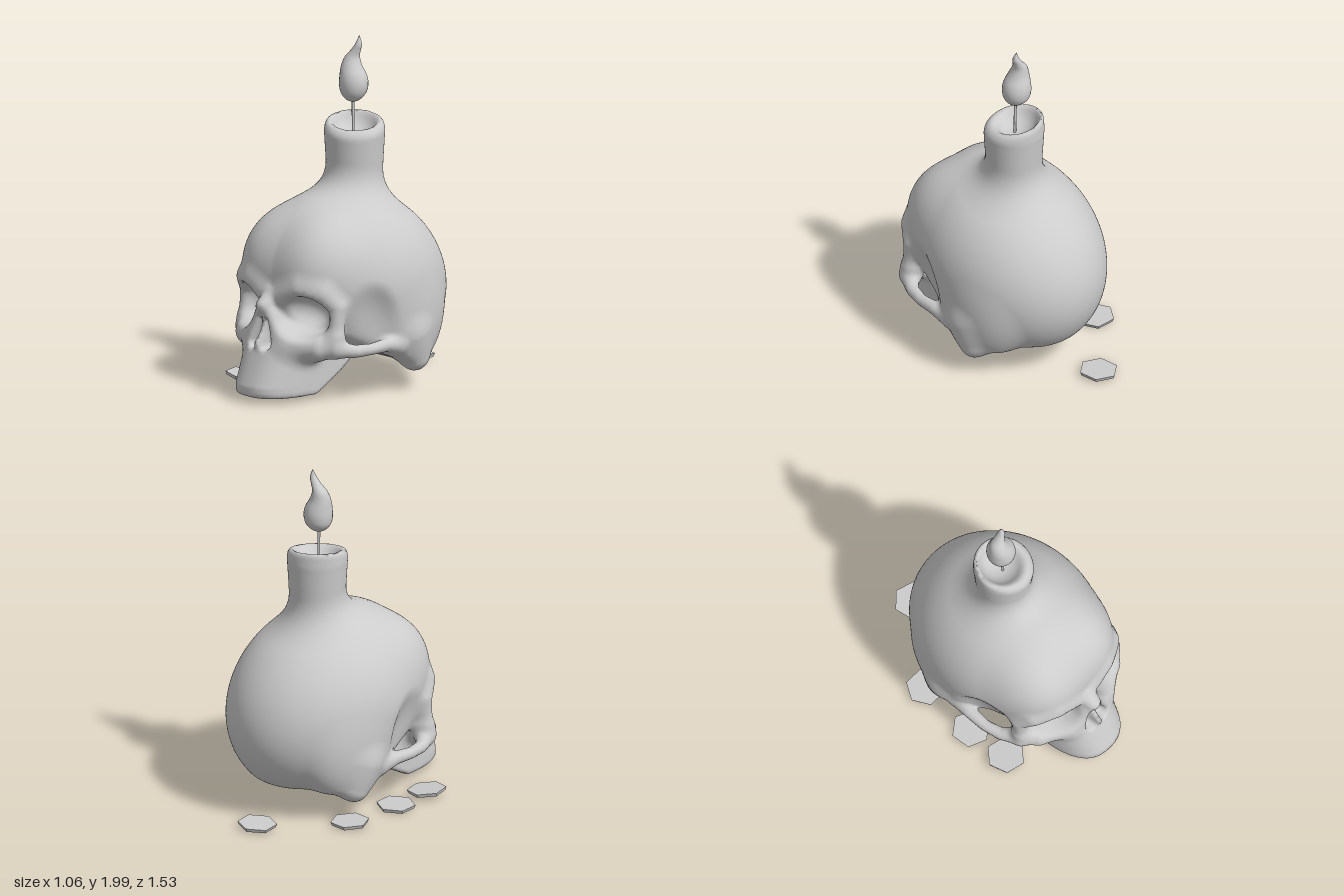
import * as THREE from 'three';

const grey = new THREE.MeshStandardMaterial({ color: 0xcccccc });
const greyFlat = new THREE.MeshStandardMaterial({ color: 0xcccccc, flatShading: true });
const MID = 0.02; // symmetry plane of the skull

// ---- sculpting helpers: signed distances, blended smoothly ----
const blend = (a, b, k) => Math.min(a, b) - Math.max(k - Math.abs(a - b), 0) ** 2 / (4 * k);
const carve = (a, b, k) => -blend(-a, b, k);

function ellipsoid(x, y, z, [cx, cy, cz], [rx, ry, rz]) {
  const dx = (x - cx) / rx, dy = (y - cy) / ry, dz = (z - cz) / rz;
  const k = Math.hypot(dx, dy, dz);
  return k * (k - 1) / (Math.hypot(dx / rx, dy / ry, dz / rz) + 1e-9);
}

// Chain of tapered rods through [x, y, z, radius] points
function bone(x, y, z, pts) {
  let d = 1e3;
  for (let i = 0; i + 1 < pts.length; i++) {
    const [ax, ay, az, ar] = pts[i], [bx, by, bz, br] = pts[i + 1];
    const ux = bx - ax, uy = by - ay, uz = bz - az;
    const dot = (x - ax) * ux + (y - ay) * uy + (z - az) * uz;
    const t = Math.min(1, Math.max(0, dot / (ux * ux + uy * uy + uz * uz)));
    d = Math.min(d, Math.hypot(x - ax - ux * t, y - ay - uy * t, z - az - uz * t) - ar - (br - ar) * t);
  }
  return d;
}

const MASTOID = [[0.4, 0.34, -0.12, 0.1], [0.395, 0.19, -0.17, 0.072]];
const BROW = [[0.03, 0.59, 0.55, 0.048], [0.19, 0.66, 0.52, 0.055], [0.31, 0.64, 0.465, 0.05],
  [0.362, 0.56, 0.405, 0.042], [0.36, 0.42, 0.41, 0.045]];
const CHEEK = [[0.14, 0.35, 0.54, 0.07], [0.28, 0.33, 0.47, 0.078], [0.35, 0.335, 0.42, 0.06]];
const ARCH = [[0.37, 0.325, 0.41, 0.05], [0.425, 0.31, 0.32, 0.036], [0.45, 0.31, 0.22, 0.032],
  [0.45, 0.315, 0.1, 0.038], [0.425, 0.3, 0, 0.06]];
const NOSE_BRIDGE = [[0, 0.61, 0.57, 0.03], [0, 0.555, 0.642, 0.026]];
const NOSE_SIDE = [[0.01, 0.55, 0.62, 0.034], [0.09, 0.4, 0.585, 0.045]];
const NOSE_CORE = [[0, 0.56, 0.54, 0.05], [0, 0.42, 0.53, 0.09]];
const NOSE_SPINE = [[0, 0.38, 0.62, 0.02], [0, 0.345, 0.672, 0.018]];
const NOSE_HOLE = [[0.027, 0.47, 0.262, 0.019], [0.05, 0.34, 0.272, 0.034]];
const STUMP = [[0.03, 0.95, -0.07, 0.15], [0.03, 1.28, -0.07, 0.162], [0.03, 1.45, -0.07, 0.172],
  [0.03, 1.62, -0.07, 0.165]];

// Upper jaw: rounded column whose front slopes forward to the tooth line
function upperJaw(x, y, z) {
  const depth = 0.305 + (0.37 - THREE.MathUtils.clamp(y, 0.1, 0.46)) * 0.4;
  const q = (x / 0.228) ** 2.5 + (Math.abs(z - 0.35) / depth) ** 2.5;
  const floor = 0.04 + Math.max(0, 0.42 - z) * 0.55;
  return carve(carve((q ** 0.4 - 1) * 0.22, y - floor, 0.03), 0.46 - y, 0.04);
}

function skullField(px, y, z) {
  const x = Math.abs(px - MID);
  // braincase, leaning back toward its base, with full sides and a rising underside
  let d = ellipsoid(x, y, z + 0.03 - 0.15 * (y - 0.6), [0, 0.6, 0], [0.495, 0.54, 0.595]);
  d = blend(d, ellipsoid(x, y, z, [0.29, 0.4, -0.12], [0.195, 0.32, 0.31]), 0.06);
  d = carve(d, y - 0.16 - Math.max(0, z + 0.15) * 0.4, 0.06);
  d = blend(d, bone(x, y, z, MASTOID), 0.08);
  // broad forehead
  d = blend(d, ellipsoid(x, y, z, [0.16, 0.72, 0.28], [0.235, 0.3, 0.275]), 0.08);
  // temple hollow behind the eye
  d = carve(d, ellipsoid(x, y, z, [0.5, 0.41, 0.23], [0.11, 0.24, 0.16]), 0.07);
  // face bones
  d = blend(d, upperJaw(x, y, z), 0.05);
  d = blend(d, bone(x, y, z, BROW), 0.07);
  d = blend(d, bone(x, y, z, CHEEK), 0.09);
  d = blend(d, bone(x, y, z, ARCH), 0.03);
  d = blend(d, bone(x, y, z, NOSE_CORE), 0.04);
  d = blend(d, bone(x, y, z, NOSE_SIDE), 0.04);
  d = blend(d, bone(x, y, z, NOSE_BRIDGE), 0.04);
  d = blend(d, bone(x, y, z, NOSE_SPINE), 0.04);
  // eye sockets, nose openings and palate
  d = carve(d, ellipsoid(x, y, z, [0.228, 0.508, 0.56], [0.13, 0.118, 0.2]), 0.04);
  d = carve(d, bone(x, y, z * 0.4, NOSE_HOLE), 0.015);
  d = carve(d, ellipsoid(x, y, z, [0, 0.04, 0.4], [0.175, 0.17, 0.29]), 0.03);
  // candle stump growing out of the crown, with a slanted hollow rim
  d = blend(d, bone(px, y, z, STUMP), 0.16);
  d = carve(d, 1.52 - 0.19 * (px - 0.03 + z + 0.07) - y, 0.06);
  return carve(d, ellipsoid(px, y, z, [0.025, 1.54, -0.075], [0.13, 0.12, 0.13]), 0.04);
}

// Wraps a quad skin around a field: one vertex per boundary cell, slid onto the surface
function skin(field, min, max, h) {
  const n = min.map((m, a) => Math.ceil((max[a] - m) / h) + 1);
  const step = [n[1] * n[2], n[2], 1];
  const val = new Float32Array(n[0] * n[1] * n[2]);
  const id = new Int32Array(val.length).fill(-1);
  const each = (fn) => {
    for (let i = 0, p = 0; i < n[0]; i++)
      for (let j = 0; j < n[1]; j++)
        for (let k = 0; k < n[2]; k++) fn([i, j, k], p++);
  };
  const gradient = ([x, y, z], e) => [
    (field(x + e, y, z) - field(x - e, y, z)) / (2 * e),
    (field(x, y + e, z) - field(x, y - e, z)) / (2 * e),
    (field(x, y, z + e) - field(x, y, z - e)) / (2 * e)];
  each((c, p) => { val[p] = field(min[0] + c[0] * h, min[1] + c[1] * h, min[2] + c[2] * h); });

  const pos = [], nor = [], index = [];
  each((c, p) => {
    if (c.some((v, a) => v === n[a] - 1)) return;
    let inside = 0;
    for (let b = 0; b < 8; b++)
      if (val[p + (b & 1) * step[0] + (b >> 1 & 1) * step[1] + (b >> 2)] < 0) inside++;
    if (inside === 0 || inside === 8) return;
    const mid = c.map((v, a) => min[a] + (v + 0.5) * h);
    let q = mid;
    for (let s = 0; s < 4; s++) {
      const g = gradient(q, 0.002);
      const f = field(...q) / (g[0] * g[0] + g[1] * g[1] + g[2] * g[2] + 1e-6);
      q = q.map((v, a) => THREE.MathUtils.clamp(v - g[a] * f, mid[a] - 0.55 * h, mid[a] + 0.55 * h));
    }
    const g = gradient(q, 0.005), len = Math.hypot(...g) || 1;
    id[p] = pos.length / 3;
    pos.push(...q);
    nor.push(g[0] / len, g[1] / len, g[2] / len);
  });
  each((c, p) => {
    for (let a = 0; a < 3; a++) {
      const b = (a + 1) % 3, e = (a + 2) % 3;
      if (c[a] === n[a] - 1 || c[b] === 0 || c[e] === 0) continue;
      const out = val[p] < 0;
      if (out === (val[p + step[a]] < 0)) continue;
      const q = [p - step[b] - step[e], p - step[e], p, p - step[b]].map((v) => id[v]);
      if (q.some((v) => v < 0)) continue;
      if (!out) q.reverse();
      index.push(q[0], q[1], q[2], q[0], q[2], q[3]);
    }
  });
  const geo = new THREE.BufferGeometry();
  geo.setAttribute('position', new THREE.Float32BufferAttribute(pos, 3));
  geo.setAttribute('normal', new THREE.Float32BufferAttribute(nor, 3));
  return geo.setIndex(index);
}

// Flame: round rings strung along a curling centre line [radius, y, x, z]
function flameGeometry() {
  const rings = [[0, 1.615, 0.02, -0.07], [0.04, 1.63, 0.018, -0.07], [0.073, 1.67, 0.016, -0.075],
    [0.083, 1.72, 0.016, -0.077], [0.077, 1.77, 0.012, -0.077], [0.06, 1.82, 0, -0.076],
    [0.043, 1.87, -0.002, -0.083], [0.029, 1.91, 0.018, -0.09], [0.019, 1.95, 0.037, -0.095],
    [0, 2, 0.037, -0.1]];
  const count = 36;
  const spline = (a, b) =>
    new THREE.SplineCurve(rings.map((r) => new THREE.Vector2(r[a], r[b]))).getPoints(count);
  const profile = spline(0, 1), centre = spline(2, 3);
  profile.forEach((p) => { p.x = Math.max(p.x, 0); });
  const geo = new THREE.LatheGeometry(profile, 24, Math.PI);
  const p = geo.attributes.position;
  for (let i = 0; i < p.count; i++) {
    const c = centre[i % (count + 1)];
    p.setXYZ(i, p.getX(i) + c.x, p.getY(i), p.getZ(i) + c.y);
  }
  geo.computeVertexNormals();
  return geo;
}

export function createModel() {
  const model = new THREE.Group();
  const add = (name, geo, material) => {
    const mesh = new THREE.Mesh(geo, material);
    mesh.name = name;
    model.add(mesh);
    return mesh;
  };

  add('skullCandle', skin(skullField, [-0.55, -0.02, -0.68], [0.59, 1.62, 0.82], 0.018), grey);
  const wickPath = new THREE.LineCurve3(new THREE.Vector3(0.022, 1.4, -0.068), new THREE.Vector3(0.018, 1.64, -0.07));
  add('wick', new THREE.TubeGeometry(wickPath, 4, 0.008, 8), grey);
  add('flame', flameGeometry(), grey);

  // loose wax chips on the ground: x, y, z, turn, tilt
  const chips = [[-0.41, 0.034, 0.36, 0.3, -0.1], [-0.425, 0.022, 0.105, 0.1, 0.02],
    [-0.42, 0.024, -0.25, 0.5, -0.03], [-0.09, 0.028, -0.655, 0.2, 0.06]];
  for (const [x, y, z, turn, tilt] of chips) {
    const chip = add('waxChip', new THREE.CylinderGeometry(0.112, 0.104, 0.02, 6), greyFlat);
    chip.position.set(x, y, z);
    chip.rotation.set(0, turn, tilt);
  }
  return model;
}
